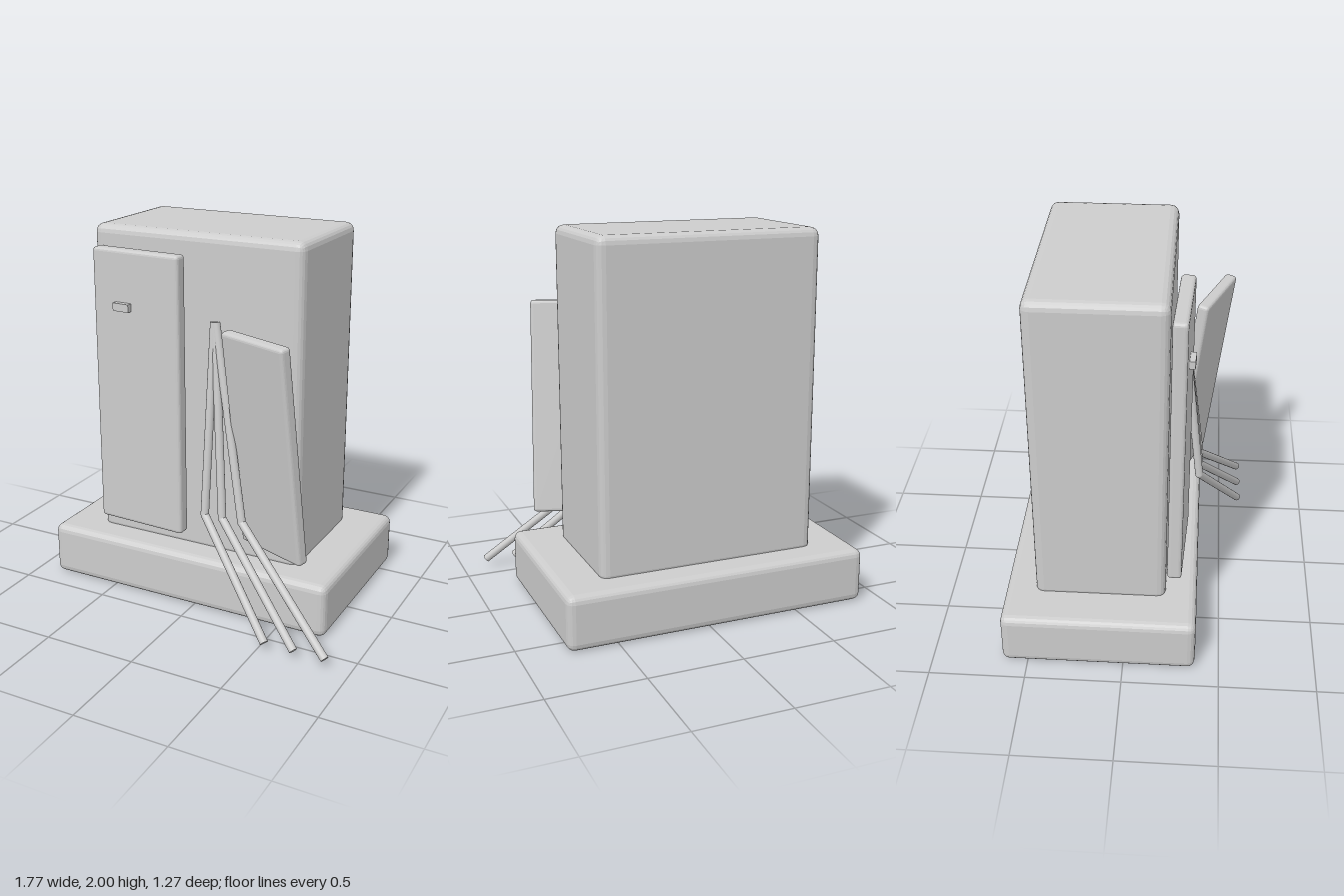
import * as THREE from 'three';
import { RoundedBoxGeometry } from 'three/addons/geometries/RoundedBoxGeometry.js';

const grey = new THREE.MeshStandardMaterial({ color: 0xcccccc });
grey.name = 'plain grey';

// Box with faceted bevels
function bevelBox(name, size, centre, bevel) {
  const geometry = new RoundedBoxGeometry(...size, 2, bevel);
  geometry.clearGroups();
  geometry.computeVertexNormals();
  const mesh = new THREE.Mesh(geometry, grey);
  mesh.name = name;
  mesh.position.set(...centre);
  return mesh;
}

// Straight rod between two points
function rod(name, a, b, radius) {
  const along = b.clone().sub(a);
  const mesh = new THREE.Mesh(new THREE.CylinderGeometry(radius, radius, along.length(), 16), grey);
  mesh.name = name;
  mesh.position.copy(a).add(b).multiplyScalar(0.5);
  mesh.quaternion.setFromUnitVectors(new THREE.Vector3(0, 1, 0), along.normalize());
  return mesh;
}

export function createModel() {
  const model = new THREE.Group();
  model.name = 'cabinet';

  // Plinth and main body
  model.add(bevelBox('plinth', [1.655, 0.29, 1.01], [-0.062, 0.15, -0.13], 0.04));
  model.add(bevelBox('cabinetBody', [1.195, 1.74, 0.685], [-0.062, 1.13, -0.132], 0.045));

  // Closed door, very slightly ajar, with its small tag
  const leftDoor = bevelBox('closedDoor', [0.52, 1.515, 0.075], [-0.358, 1.137, 0.265], 0.018);
  leftDoor.rotation.y = -0.05;
  model.add(leftDoor);
  const tag = new THREE.Mesh(new THREE.BoxGeometry(0.095, 0.042, 0.036), grey);
  tag.name = 'doorTag';
  tag.position.set(-0.432, 1.6, 0.31);
  tag.rotation.y = -0.05;
  model.add(tag);

  // Loose door, swung out and leaning forward
  const looseDoor = bevelBox('looseDoor', [0.43, 1.18, 0.065], [0.412, 0.98, 0.358], 0.018);
  looseDoor.rotation.set(0.132, -0.37, 0, 'YXZ');
  model.add(looseDoor);

  // Three bent cables spilling out of the cabinet
  const radius = 0.022;
  const cables = [
    [0.076, 0.075, 0.54],
    [0.08, 0.177, 0.7],
    [0.084, 0.29, 0.868],
  ];
  cables.forEach(([topX, kneeX, endX], i) => {
    const top = new THREE.Vector3(topX, 1.57, 0.255);
    const knee = new THREE.Vector3(kneeX, 0.56, 0.367);
    const end = new THREE.Vector3(endX, 0.052, 0.61);
    const joint = new THREE.Mesh(new THREE.SphereGeometry(radius, 16, 10), grey);
    joint.name = 'cableBend';
    joint.position.copy(knee);
    const cable = new THREE.Group();
    cable.name = `cable${i + 1}`;
    cable.add(rod('cableUpper', top, knee, radius), joint, rod('cableLower', knee, end, radius));
    model.add(cable);
  });

  return model;
}
